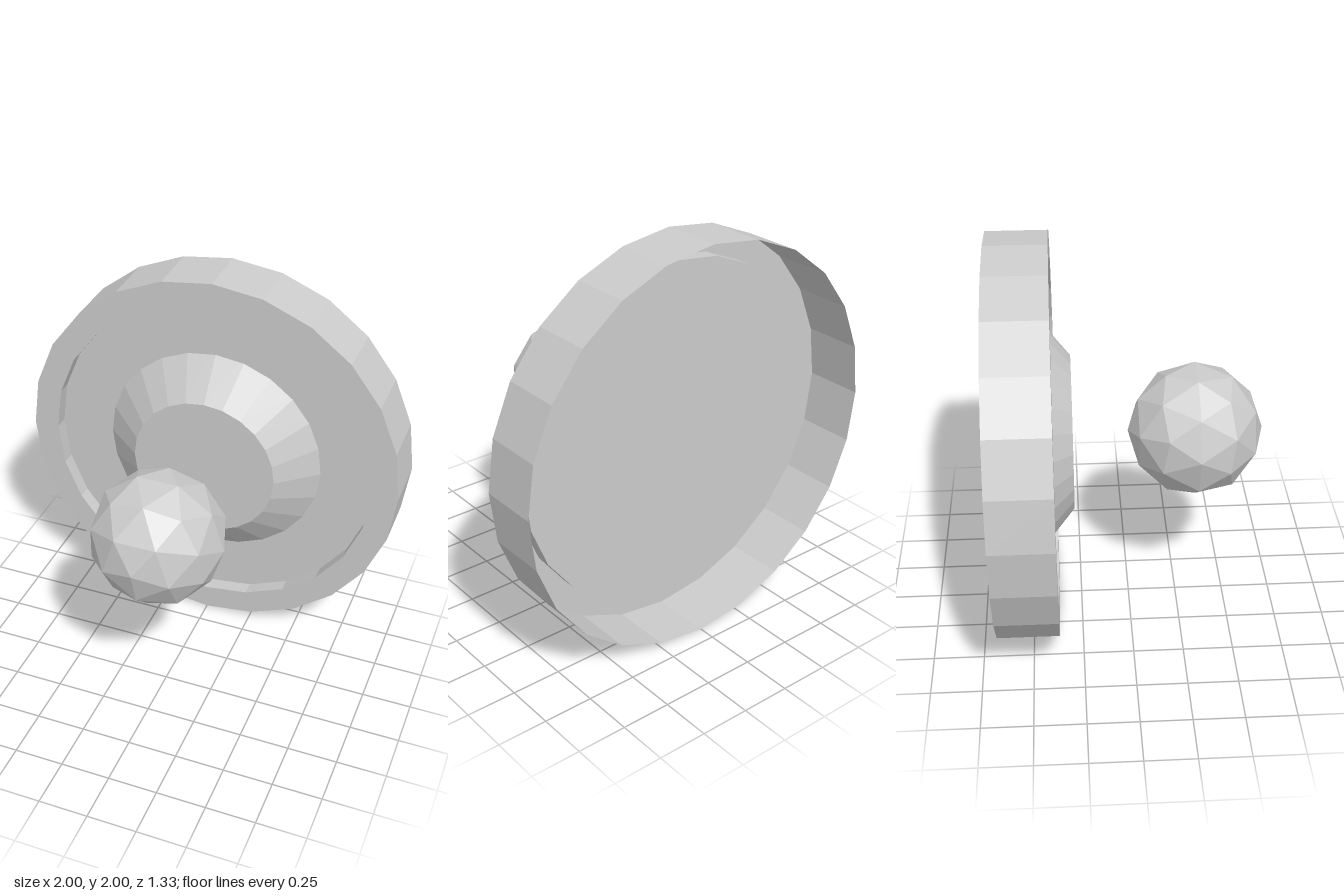
import * as THREE from 'three';

const SIDES = 24;
const material = new THREE.MeshStandardMaterial({
  color: 0xcccccc,
  flatShading: true,
  side: THREE.DoubleSide,
});

export function createModel() {
  const model = new THREE.Group();

  function add(name, geometry, z) {
    const mesh = new THREE.Mesh(geometry, material);
    mesh.name = name;
    mesh.position.set(0, 1, z);
    model.add(mesh);
  }

  // Thin dish, open at the back: outer wall, front rim, recess wall, recessed floor
  const profile = [[1, -0.3], [1, 0], [0.865, 0], [0.865, -0.075], [0, -0.075]]
    .map(([r, h]) => new THREE.Vector2(r, h));
  add('dish', new THREE.LatheGeometry(profile, SIDES).rotateX(Math.PI / 2), -0.367);

  // Tapered hub passing through the floor
  add('hub', new THREE.CylinderGeometry(0.38, 0.65, 0.225, SIDES).rotateX(Math.PI / 2), -0.39);

  // Faceted ball floating in front, one pole turned to face +z
  const poleTilt = Math.atan(2 / (1 + Math.sqrt(5)));
  add('ball', new THREE.IcosahedronGeometry(0.335, 1).rotateX(poleTilt), 0.332);

  return model;
}
